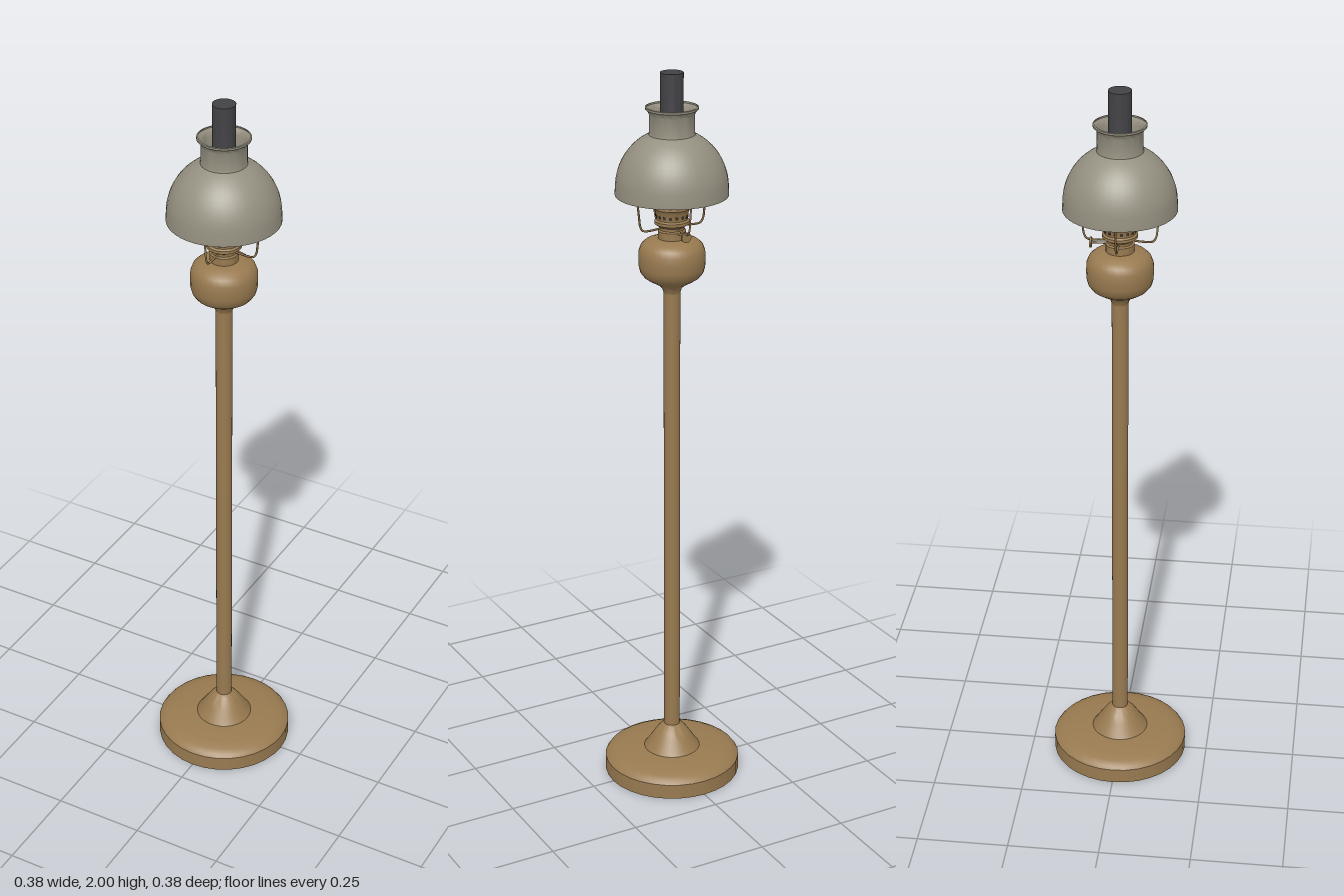
import * as THREE from 'three';
import { toCreasedNormals } from 'three/addons/utils/BufferGeometryUtils.js';

const material = (name, color, side = THREE.FrontSide) => {
  const m = new THREE.MeshStandardMaterial({ color, side });
  m.name = name;
  return m;
};

export function createModel() {
  const lamp = new THREE.Group();
  lamp.name = 'floorLamp';
  const brass = material('brass', 0x987a50, THREE.DoubleSide);
  const opal = material('opalGlass', 0x959080, THREE.DoubleSide);
  const smoke = material('smokedGlass', 0x424246);
  const dark = material('darkHoles', 0x3a3128);

  const add = (name, geometry, mat, parent = lamp) => {
    const mesh = new THREE.Mesh(geometry, mat);
    mesh.name = name;
    parent.add(mesh);
    return mesh;
  };
  // turned part from [radius, height] points, running upwards on the outside
  const turned = (name, points, mat, segments = 32) => add(name, toCreasedNormals(
    new THREE.LatheGeometry(points.map(p => new THREE.Vector2(...p)), segments), 0.6), mat);

  // hollow foot with a raised centre
  turned('base', [[0.188, 0], [0.188, 0.042], [0.182, 0.05], [0.165, 0.058], [0.14, 0.064],
    [0.078, 0.068], [0.068, 0.082], [0.055, 0.102], [0.042, 0.121], [0.03, 0.134], [0.021, 0.14]], brass);

  // pole
  const pole = add('pole', new THREE.CylinderGeometry(0.022, 0.022, 1.31, 24, 1, true), brass);
  pole.position.y = 0.775;

  // oil reservoir with its flared neck
  turned('reservoir', [[0.022, 1.415], [0.026, 1.428], [0.036, 1.438], [0.056, 1.449], [0.073, 1.46],
    [0.083, 1.473], [0.087, 1.488], [0.088, 1.51], [0.087, 1.53], [0.081, 1.546], [0.07, 1.556],
    [0.052, 1.562], [0.036, 1.565], [0, 1.566]], brass);

  // burner and its pierced gallery
  turned('burner', [[0.037, 1.562], [0.037, 1.585], [0.032, 1.588], [0.033, 1.596], [0.046, 1.604],
    [0.046, 1.612], [0.041, 1.616], [0.044, 1.638], [0.05, 1.646], [0.05, 1.664], [0.046, 1.67]], brass);
  const holes = new THREE.Group();
  holes.name = 'burnerHoles';
  lamp.add(holes);
  for (let i = 0; i < 16; i++) {
    const a = (i + 0.5) / 16 * Math.PI * 2;
    for (const [y, r, h] of [[1.626, 0.0422, 0.008], [1.655, 0.0498, 0.007]]) {
      const hole = add('hole', new THREE.BoxGeometry(0.007, h, 0.002), dark, holes);
      hole.position.set(Math.sin(a) * r, y, Math.cos(a) * r);
      hole.rotation.y = a;
    }
  }

  // glass chimney with a bulb at the bottom
  turned('chimney', [[0, 1.645], [0.045, 1.645], [0.049, 1.66], [0.058, 1.678], [0.064, 1.698],
    [0.065, 1.718], [0.06, 1.745], [0.05, 1.775], [0.04, 1.805], [0.033, 1.835], [0.03, 1.87],
    [0.03, 2], [0, 2]], smoke);

  // domed shade, open at both ends
  const dome = [];
  for (let i = 0; i <= 12; i++) {
    const a = i / 12 * 1.15;
    dome.push([0.147 * Math.cos(a), 1.7 + 0.153 * Math.sin(a)]);
  }
  turned('shade', [[0.143, 1.683], [0.148, 1.681], [0.148, 1.69], ...dome, [0.059, 1.845],
    [0.059, 1.892], [0.062, 1.9], [0.069, 1.906], [0.069, 1.911], [0.065, 1.912]], opal, 40);

  // four wire arms and the ring that carries the shade
  const armCurve = new THREE.CatmullRomCurve3([[0.036, 1.594], [0.06, 1.592], [0.085, 1.594], [0.093, 1.606],
    [0.097, 1.635], [0.102, 1.668], [0.11, 1.681], [0.143, 1.684]].map(([x, y]) => new THREE.Vector3(x, y, 0)));
  const armGeometry = new THREE.TubeGeometry(armCurve, 28, 0.0028, 6);
  for (let i = 0; i < 4; i++) add('shadeArm', armGeometry, brass).rotation.y = i * Math.PI / 2;
  const ring = add('shadeRing', new THREE.TorusGeometry(0.143, 0.003, 6, 40), brass);
  ring.rotation.x = Math.PI / 2;
  ring.position.y = 1.684;

  // wick knob on the back
  const shaft = add('wickShaft', new THREE.CylinderGeometry(0.003, 0.003, 0.05, 8), brass);
  shaft.rotation.x = Math.PI / 2;
  shaft.position.set(0, 1.584, -0.052);
  const knob = add('wickKnob', new THREE.CylinderGeometry(0.014, 0.014, 0.005, 16), brass);
  knob.rotation.x = Math.PI / 2;
  knob.position.set(0, 1.584, -0.076);

  return lamp;
}
